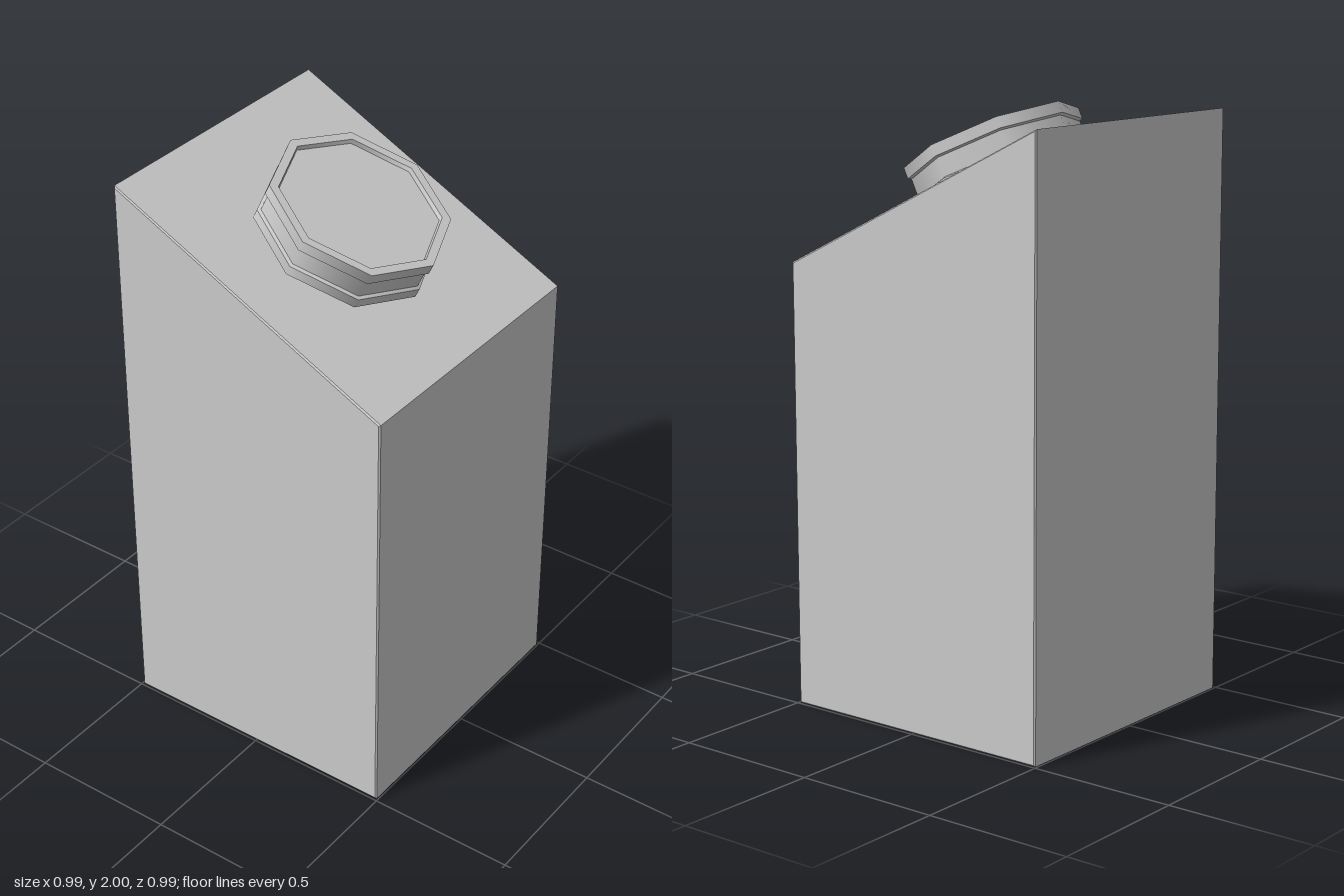
import * as THREE from 'three';
import { mergeGeometries } from 'three/addons/utils/BufferGeometryUtils.js';

const HALF = 0.495, HIGH = 1.96, LOW = 1.48, BEVEL = 0.005;

// Octagonal lathe with a sharp edge at every profile point
function sharpLathe(profile, sides) {
  const bands = [];
  for (let i = 0; i < profile.length - 1; i++) {
    const pair = [profile[i], profile[i + 1]].map(([r, y]) => new THREE.Vector2(r, y));
    bands.push(new THREE.LatheGeometry(pair, sides));
  }
  return mergeGeometries(bands);
}

export function createModel() {
  const model = new THREE.Group();
  model.name = 'carton';
  const grey = new THREE.MeshStandardMaterial({ color: 0xcccccc });
  grey.name = 'light grey';

  // Carton body: slanted side outline with finely bevelled front and back edges
  const outline = new THREE.Shape([
    new THREE.Vector2(-HALF, 0),
    new THREE.Vector2(HALF, 0),
    new THREE.Vector2(HALF, LOW),
    new THREE.Vector2(-HALF, HIGH),
  ]);
  const bodyGeometry = new THREE.ExtrudeGeometry(outline, {
    depth: 2 * (HALF - BEVEL),
    bevelThickness: BEVEL,
    bevelSize: BEVEL,
    bevelOffset: -BEVEL,
    bevelSegments: 1,
  });
  bodyGeometry.translate(0, 0, -(HALF - BEVEL));
  const body = new THREE.Mesh(bodyGeometry, grey);
  body.name = 'cartonBody';
  model.add(body);

  // Screw cap: neck, lower ring, grooved side, upper rim and recessed lid
  const capProfile = [
    [0.265, -0.01], [0.265, 0.015], [0.3, 0.015], [0.3, 0.05],
    [0.289, 0.055], [0.289, 0.12], [0.3, 0.125], [0.3, 0.163],
    [0.27, 0.163], [0.266, 0.148], [0, 0.148],
  ];
  const cap = new THREE.Mesh(sharpLathe(capProfile, 8), grey);
  cap.name = 'screwCap';
  cap.position.set(0, (HIGH + LOW) / 2, 0);
  cap.rotation.z = -Math.atan2(HIGH - LOW, 2 * HALF);
  model.add(cap);

  return model;
}
